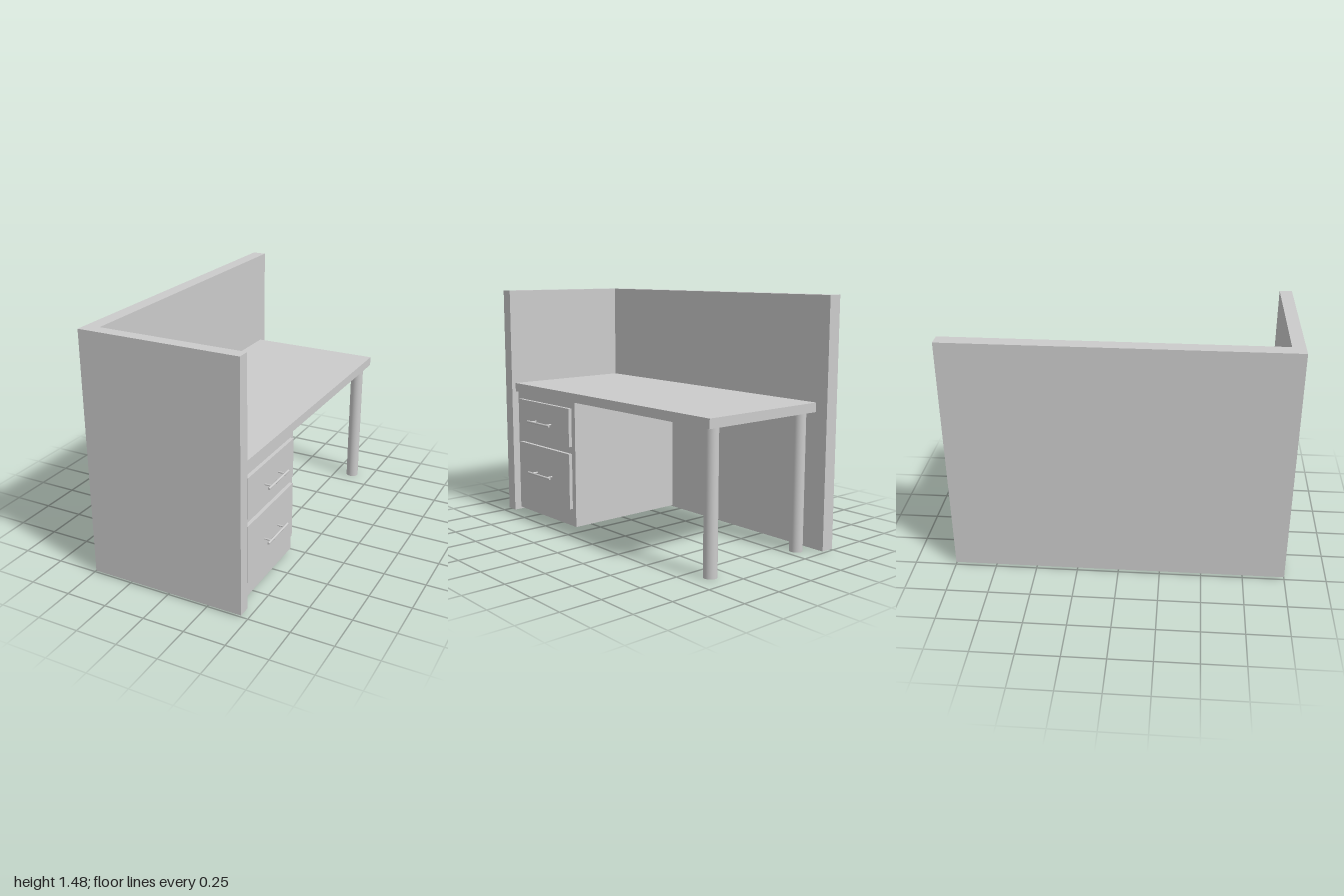
import * as THREE from 'three';

export function createModel() {
  const group = new THREE.Group();
  group.name = 'cubicleDesk';
  const material = new THREE.MeshStandardMaterial({ color: 0xcccccc });

  const add = (name, geometry, x, y, z) => {
    const mesh = new THREE.Mesh(geometry, material);
    mesh.name = name;
    mesh.position.set(x, y, z);
    group.add(mesh);
    return mesh;
  };
  // Box given by its limits on each axis
  const box = (name, [x0, x1], [y0, y1], [z0, z1]) =>
    add(name, new THREE.BoxGeometry(x1 - x0, y1 - y0, z1 - z0),
      (x0 + x1) / 2, (y0 + y1) / 2, (z0 + z1) / 2);

  // L-shaped privacy partition, drawn in plan (shape y = -z) and raised
  const plan = new THREE.Shape([
    [-0.49, -1], [0.46, -1], [0.46, -0.925], [-0.405, -0.925], [-0.405, 1], [-0.49, 1],
  ].map(([x, y]) => new THREE.Vector2(x, y)));
  const partition = new THREE.ExtrudeGeometry(plan, { depth: 1.465, bevelEnabled: false });
  partition.rotateX(-Math.PI / 2);
  add('partition', partition, 0, 0.01, 0);

  // Worktop
  box('desktop', [-0.4, 0.435], [0.815, 0.87], [-0.925, 0.922]);

  // Two round legs at the open end
  for (const x of [-0.325, 0.365]) {
    add('leg', new THREE.CylinderGeometry(0.039, 0.039, 0.815, 32), x, 0.4075, -0.868);
  }

  // Drawer cabinet
  box('cabinet', [-0.385, 0.416], [0.025, 0.815], [0.28, 0.92]);

  // Drawer fronts, each with a bar handle on two posts
  for (const [y0, y1, handleY] of [[0.53, 0.77, 0.645], [0.135, 0.485, 0.308]]) {
    box('drawerFront', [0.416, 0.438], [y0, y1], [0.315, 0.878]);
    const bar = add('handleBar', new THREE.CylinderGeometry(0.007, 0.007, 0.245, 16), 0.48, handleY, 0.593);
    bar.rotation.x = Math.PI / 2;
    for (const z of [0.51, 0.677]) {
      const post = add('handlePost', new THREE.CylinderGeometry(0.005, 0.005, 0.042, 12), 0.459, handleY, z);
      post.rotation.z = Math.PI / 2;
    }
  }

  return group;
}
